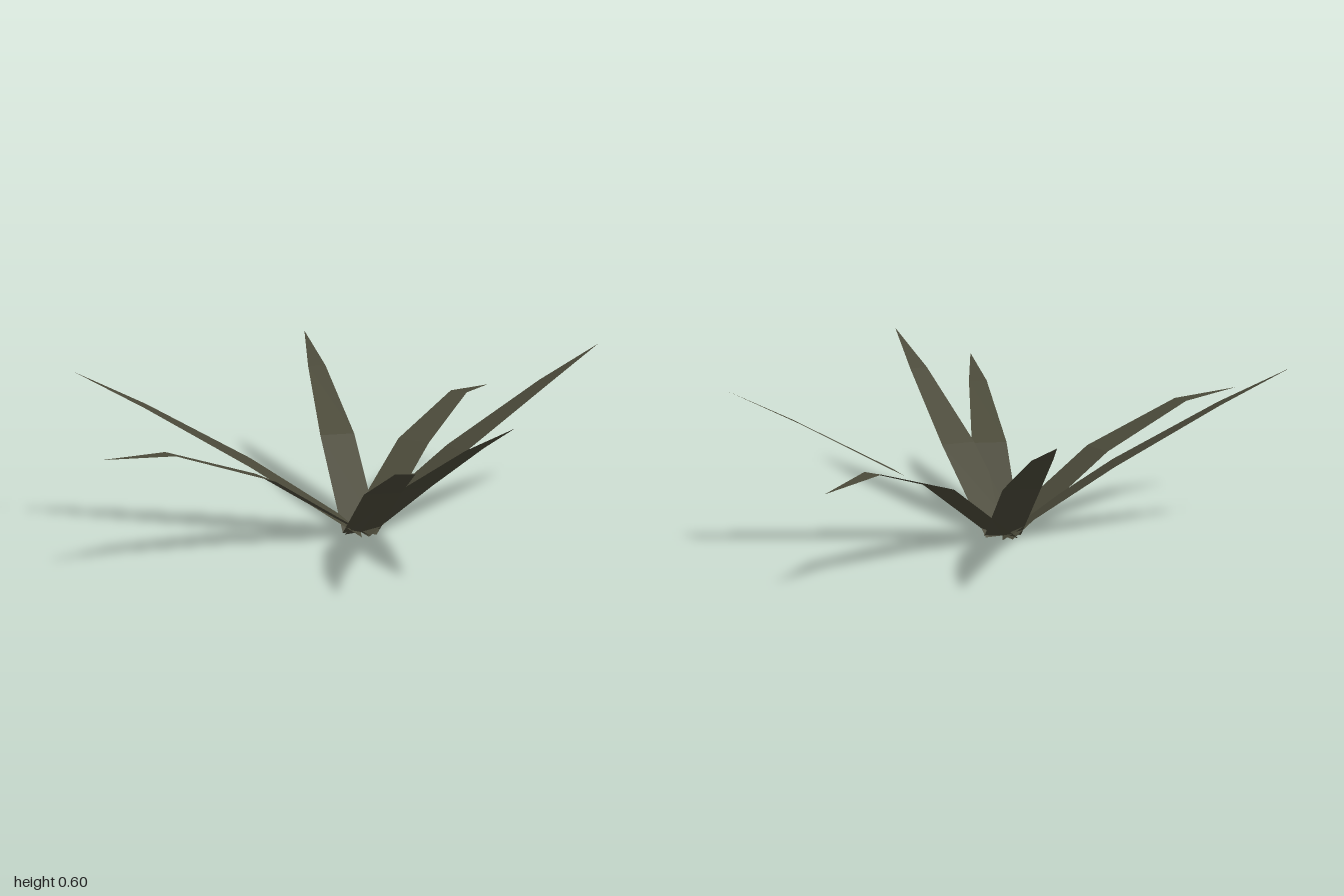
import * as THREE from 'three';

const CENTRE = new THREE.Vector3(0.025, 0, -0.03);

// Each leaf: tip position, heights at the two bends, and where the outer bend sits
const LEAVES = [
  { tip: [0.42, 0.53, -0.95], bends: [0.26, 0.44], outer: 0.76 },
  { tip: [0.92, 0.345, -0.415], bends: [0.25, 0.365], outer: 0.75 },
  { tip: [0.99, 0.59, 0.13], bends: [0.26, 0.47], outer: 0.765 },
  { tip: [-0.1, 0.595, 0.94], bends: [0.255, 0.475], outer: 0.765 },
  { tip: [-0.395, 0.48, 0.865], bends: [0.25, 0.415], outer: 0.75 },
  { tip: [-1.0, 0.425, -0.035], bends: [0.265, 0.405], outer: 0.75 },
  { tip: [-0.81, 0.595, -0.56], bends: [0.26, 0.47], outer: 0.755 },
];

// Flat strip of level cross-sections that narrows to a point
function leafGeometry({ tip, bends, outer }) {
  const end = new THREE.Vector3(...tip);
  const side = new THREE.Vector3(end.z - CENTRE.z, 0, CENTRE.x - end.x).normalize();
  const sections = [
    { t: 0, y: 0, half: 0.065 },
    { t: 0.39, y: bends[0], half: 0.064 },
    { t: outer, y: bends[1], half: 0.034 },
  ];
  const positions = [];
  for (const { t, y, half } of sections) {
    const mid = CENTRE.clone().lerp(end, t).setY(y);
    for (const s of [1, -1]) positions.push(...mid.clone().addScaledVector(side, s * half).toArray());
  }
  positions.push(...tip);

  const index = [];
  for (let i = 0; i < 4; i += 2) index.push(i, i + 2, i + 1, i + 1, i + 2, i + 3);
  index.push(4, 6, 5);

  const geometry = new THREE.BufferGeometry();
  geometry.setAttribute('position', new THREE.Float32BufferAttribute(positions, 3));
  geometry.setIndex(index);
  // Make sure the upper side is the front
  geometry.computeVertexNormals();
  if (geometry.attributes.normal.getY(2) < 0) {
    geometry.setIndex(index.reverse());
    geometry.computeVertexNormals();
  }
  return geometry;
}

export function createModel() {
  const plant = new THREE.Group();
  plant.name = 'plant';
  const leafGreen = new THREE.MeshStandardMaterial({
    color: 0x4a4939, side: THREE.DoubleSide, flatShading: true,
  });
  leafGreen.name = 'dark olive';

  LEAVES.forEach((leaf, i) => {
    const mesh = new THREE.Mesh(leafGeometry(leaf), leafGreen);
    mesh.name = `leaf${i + 1}`;
    plant.add(mesh);
  });
  return plant;
}
